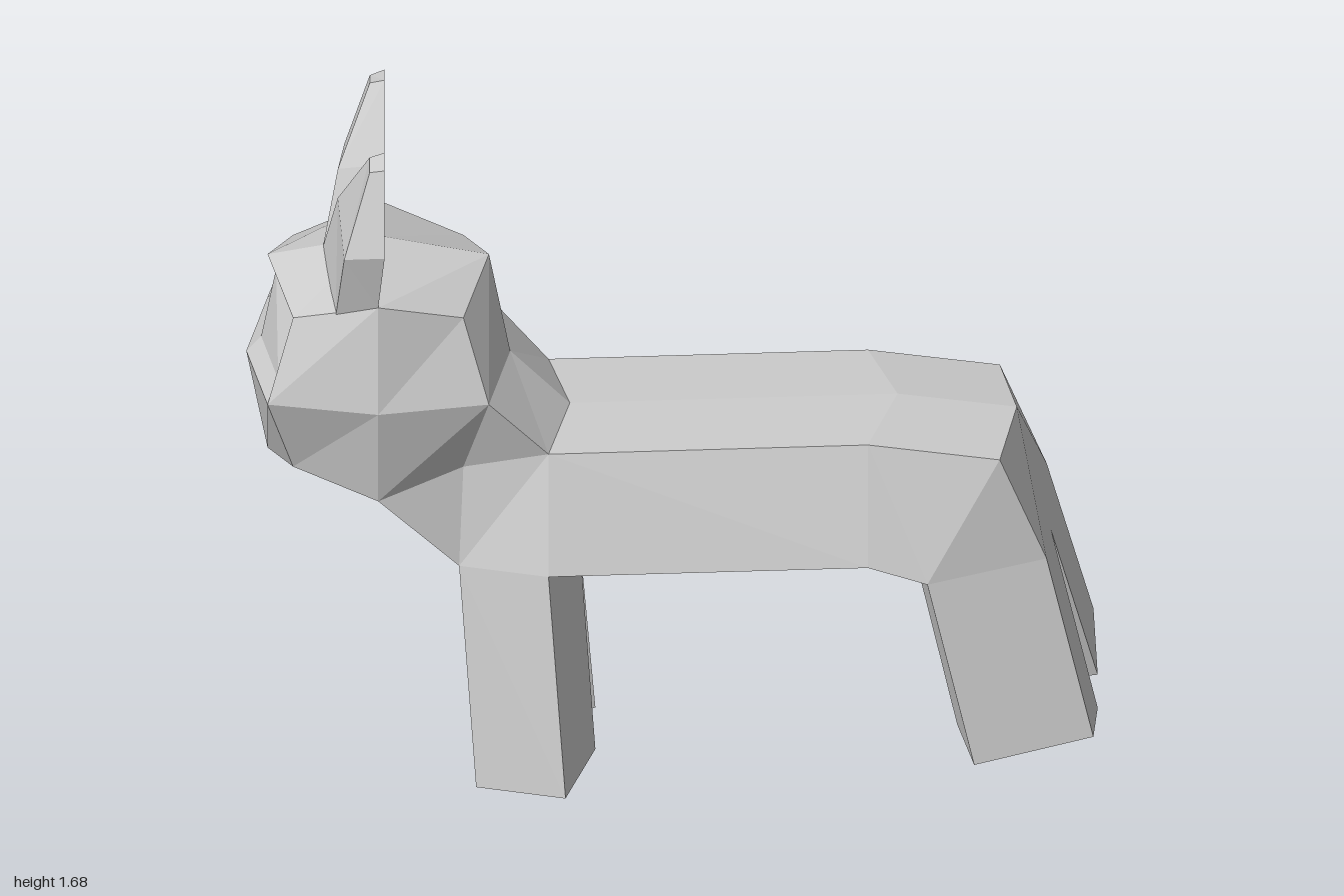
import * as THREE from 'three';

const material = new THREE.MeshStandardMaterial({ color: 0xcccccc, flatShading: true, side: THREE.DoubleSide });
const v = (x, y, z = 0) => new THREE.Vector3(x, y, z);
const flip = p => v(p.x, p.y, -p.z);

function makeMesh(name, triangles) {
  const geometry = new THREE.BufferGeometry().setFromPoints(triangles.flat());
  geometry.computeVertexNormals();
  const mesh = new THREE.Mesh(geometry, material);
  mesh.name = name;
  return mesh;
}

// Fans polygons into triangles whose normals point away from an inside point
function orient(polygons, inside) {
  const out = [];
  for (const p of polygons) {
    for (let i = 1; i < p.length - 1; i++) {
      const [a, b, c] = [p[0], p[i], p[i + 1]];
      const n = b.clone().sub(a).cross(c.clone().sub(a));
      const mid = a.clone().add(b).add(c).divideScalar(3).sub(inside);
      out.push(n.dot(mid) >= 0 ? [a, b, c] : [a, c, b]);
    }
  }
  return out;
}

const mirror = triangles => triangles.map(([a, b, c]) => [flip(a), flip(c), flip(b)]);

// Shell given by its left half, mirrored across z = 0
function shell(name, inside, polygons) {
  const half = orient(polygons, inside);
  return makeMesh(name, [...half, ...mirror(half)]);
}

// Pair of lofts through four-cornered rings, closed at the last ring
function pair(name, rings) {
  const points = rings.flat();
  const inside = points.reduce((s, p) => s.add(p), v(0, 0)).divideScalar(points.length);
  const polygons = [rings.at(-1)];
  for (let r = 0; r < rings.length - 1; r++) {
    for (let i = 0; i < 4; i++) {
      const j = (i + 1) % 4;
      polygons.push([rings[r][i], rings[r][j], rings[r + 1][j], rings[r + 1][i]]);
    }
  }
  const half = orient(polygons, inside);
  const group = new THREE.Group();
  group.name = name + 's';
  group.add(makeMesh(name + 'Left', half), makeMesh(name + 'Right', mirror(half)));
  return group;
}

// Rounded cube head: 2x2x2 box with edges and corners pulled in
function makeHead(center) {
  const radius = [0, 0.31, 0.26, 0.2];
  const position = new THREE.BoxGeometry(2, 2, 2, 2, 2, 2).toNonIndexed().attributes.position;
  const triangles = [];
  for (let i = 0; i < position.count; i += 3) {
    const t = [0, 1, 2].map(k => new THREE.Vector3().fromBufferAttribute(position, i + k).round());
    const sum = t[0].clone().add(t[1]).add(t[2]);
    const face = sum.x === -3 && sum.y > 0;
    const neck = (sum.x === 3 && sum.y < 0) || (sum.y === -3 && sum.x > 0);
    if (face || neck) continue;
    triangles.push(t.map(p => {
      const count = Math.abs(p.x) + Math.abs(p.y) + Math.abs(p.z);
      return p.multiplyScalar(radius[count]).add(center);
    }));
  }
  return makeMesh('head', triangles);
}

export function createModel() {
  const model = new THREE.Group();

  // Shared trunk corners: ridge, back edge, flank edge, belly line
  const ridge = [v(-0.24, 0.91), v(0.53, 0.935), v(0.81, 0.9)];
  const back = [v(-0.29, 0.9, 0.23), v(0.46, 0.925, 0.23), v(0.77, 0.885, 0.23)];
  const flank = [v(-0.29, 0.62, 0.32), v(0.46, 0.65, 0.33)];
  const belly = v(-0.22, 0.58), groin = v(0.55, 0.59);
  const hip = v(0.6, 0.605, 0.33), rump = v(0.88, 0.62, 0.23), tail = v(0.89, 0.57);
  const chest = v(-0.5, 0.6, 0.23), chestMid = v(-0.5, 0.55);

  model.add(shell('trunk', v(0.15, 0.76), [
    [ridge[0], ridge[1], back[1], back[0]],
    [ridge[1], ridge[2], back[2], back[1]],
    [back[0], back[1], flank[1], flank[0]],
    [back[1], back[2], hip, flank[1]],
    [back[2], rump, hip],
    [ridge[2], tail, rump, back[2]],
    [belly, groin, flank[1], flank[0]],
    [groin, hip, flank[1]],
  ]));

  // Neck from the lower back of the head to the shoulders
  const nape = v(-0.38, 1.05), napeSide = v(-0.43, 1.05, 0.26);
  const jaw = v(-0.49, 0.85, 0.2), throatSide = v(-0.69, 0.79, 0.26), throat = v(-0.69, 0.74);
  model.add(shell('neck', v(-0.45, 0.85), [
    [nape, napeSide, back[0], ridge[0]],
    [napeSide, jaw, back[0]],
    [jaw, chest, back[0]],
    [jaw, throatSide, chest],
    [chest, flank[0], back[0]],
    [throat, throatSide, chest, chestMid],
  ]));

  // Legs
  model.add(pair('frontLeg', [
    [chest, flank[0], belly, chestMid],
    [v(-0.46, 0.055, 0.32), v(-0.25, 0.08, 0.42), v(-0.18, 0.035, 0.1), v(-0.46, 0, 0.1)],
  ]));
  model.add(pair('rearLeg', [
    [hip, rump, tail, groin],
    [v(0.71, 0.165, 0.41), v(0.99, 0.185, 0.31), v(1, 0.135, 0.08), v(0.67, 0.09, 0.08)],
  ]));

  // Head with a shallow sunken panel across the upper face
  model.add(makeHead(v(-0.69, 1.05)));
  const outer = [v(-0.95, 1.31), v(-0.89, 1.25, 0.2), v(-0.95, 1.05, 0.26), v(-1, 1.05)];
  const inner = [v(-0.93, 1.27), v(-0.885, 1.215, 0.165), v(-0.925, 1.09, 0.21), v(-0.965, 1.09)];
  const rim = [0, 1, 2].map(i => [outer[i], outer[i + 1], inner[i + 1], inner[i]]);
  model.add(shell('face', v(-0.6, 1.1), [inner, ...rim]));

  // Ears
  model.add(pair('ear', [
    [v(-0.69, 1.36), v(-0.69, 1.31, 0.26), v(-0.79, 1.27, 0.23), v(-0.82, 1.33)],
    [v(-0.675, 1.52, 0.055), v(-0.675, 1.47, 0.31), v(-0.77, 1.45, 0.28), v(-0.785, 1.5, 0.07)],
    [v(-0.675, 1.68, 0.175), v(-0.675, 1.67, 0.245), v(-0.71, 1.66, 0.235), v(-0.71, 1.67, 0.18)],
  ]));

  return model;
}
